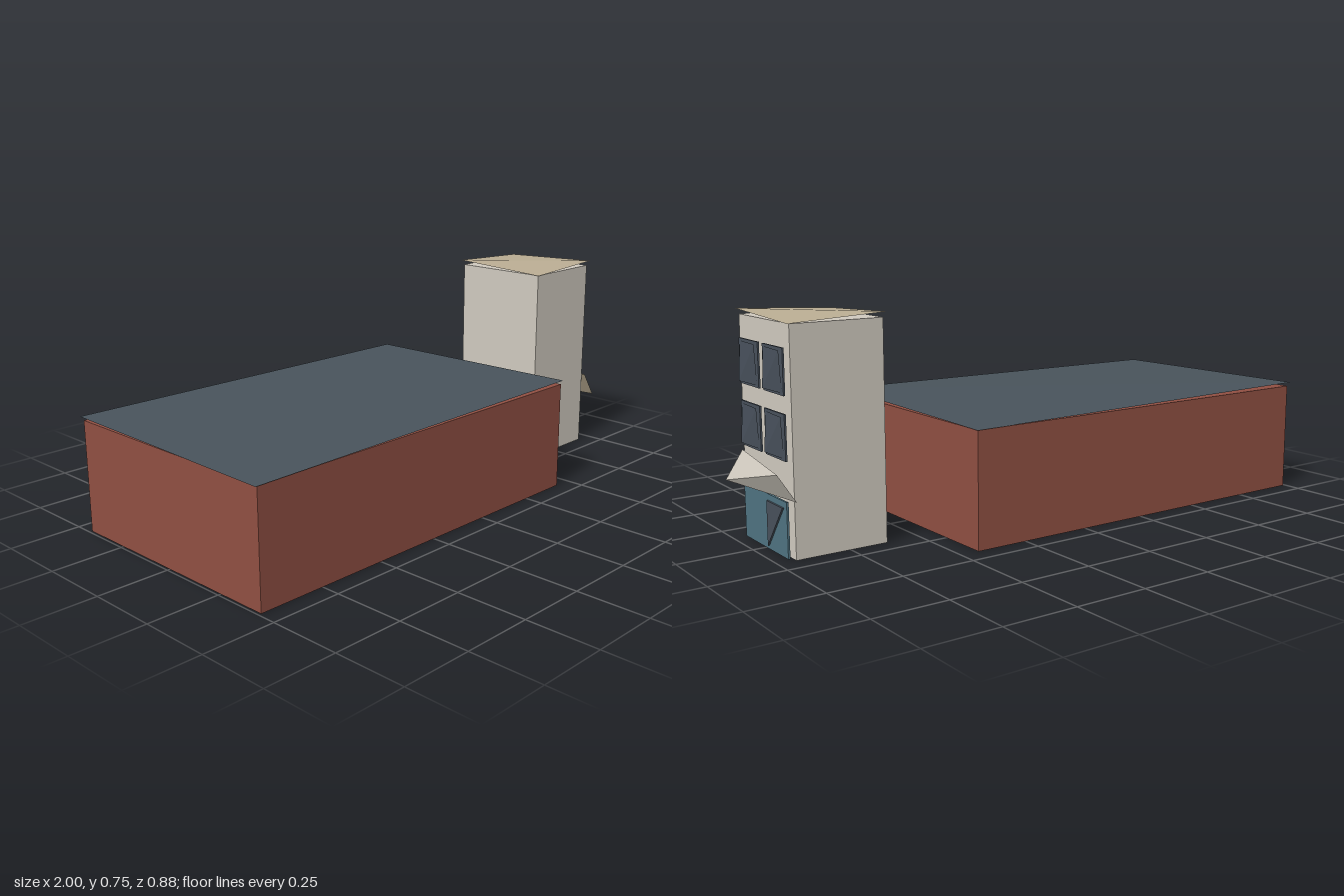
import * as THREE from 'three';

const mat = (name, color) => {
  const m = new THREE.MeshStandardMaterial({ color });
  m.name = name;
  return m;
};

export function createModel() {
  const brick = mat('brick', 0x8f4f42);
  const slate = mat('slate roof', 0x48535b);
  const plaster = mat('plaster', 0xcfc9be);
  const tan = mat('tan roof', 0xb9ac92);
  const glass = mat('dark glass', 0x47505b);
  const teal = mat('shop front', 0x4f7280);

  const model = new THREE.Group();
  const add = (name, geometry, material) => {
    const mesh = new THREE.Mesh(geometry, material);
    mesh.name = name;
    model.add(mesh);
  };

  // Box given by its extents
  const box = (name, [x0, x1], [y0, y1], [z0, z1], material) => {
    const g = new THREE.BoxGeometry(x1 - x0, y1 - y0, z1 - z0);
    g.translate((x0 + x1) / 2, (y0 + y1) / 2, (z0 + z1) / 2);
    add(name, g, material);
  };

  // Folded slab: four alternating corners of a box joined by four triangles,
  // one material per triangle; mirrored swaps the direction of the ridge
  const folded = (name, [x0, x1], [y0, y1], [z0, z1], materials, mirrored = false) => {
    const [a, b] = mirrored ? [x0, x1] : [x1, x0];
    const P = [a, y1, z1], Q = [b, y1, z0], R = [b, y0, z1], S = [a, y0, z0];
    const faces = [[P, Q, R], [P, S, Q], [R, S, P], [R, Q, S]];
    const points = faces.flatMap(f => (mirrored ? [f[0], f[2], f[1]] : f)).flat();
    const g = new THREE.BufferGeometry();
    g.setAttribute('position', new THREE.Float32BufferAttribute(points, 3));
    faces.forEach((_, i) => g.addGroup(i * 3, 3, i));
    g.computeVertexNormals();
    add(name, g, materials);
  };

  // Long hall
  box('hallWalls', [-0.99, 0.435], [0, 0.388], [-0.434, 0.434], brick);
  folded('hallRoof', [-1, 0.44], [0.389, 0.402], [-0.44, 0.44], [slate, slate, brick, brick]);

  // Tower
  box('towerWalls', [0.618, 0.938], [0, 0.728], [-0.182, 0.182], plaster);
  folded('towerRoof', [0.608, 0.948], [0.729, 0.746], [-0.191, 0.191], [tan, tan, plaster, plaster]);

  // Awning over the shop front
  folded('awning', [0.938, 1], [0.187, 0.281], [-0.197, 0.197], [plaster, tan, tan, plaster], true);

  // Two rows of paired windows, standing just off the wall
  for (const y of [0.38, 0.582]) {
    for (const z of [-0.088, 0.088]) {
      box('windowFrame', [0.946, 0.952], [y - 0.073, y + 0.073], [z - 0.071, z + 0.071], glass);
      folded('windowPane', [0.953, 0.96], [y - 0.065, y + 0.065], [z - 0.062, z + 0.062],
        [glass, glass, glass, glass], true);
    }
  }

  // Shop front with a triangular door panel
  box('shopFront', [0.946, 0.953], [0, 0.18], [-0.157, 0.157], teal);
  const panel = new THREE.Shape([
    new THREE.Vector2(0.025, 0.013), new THREE.Vector2(0.14, 0.16), new THREE.Vector2(0.025, 0.16),
  ]);
  const door = new THREE.ExtrudeGeometry(panel, { depth: 0.006, bevelEnabled: false });
  door.rotateY(Math.PI / 2);
  door.translate(0.954, 0, 0);
  add('doorPanel', door, glass);

  return model;
}
